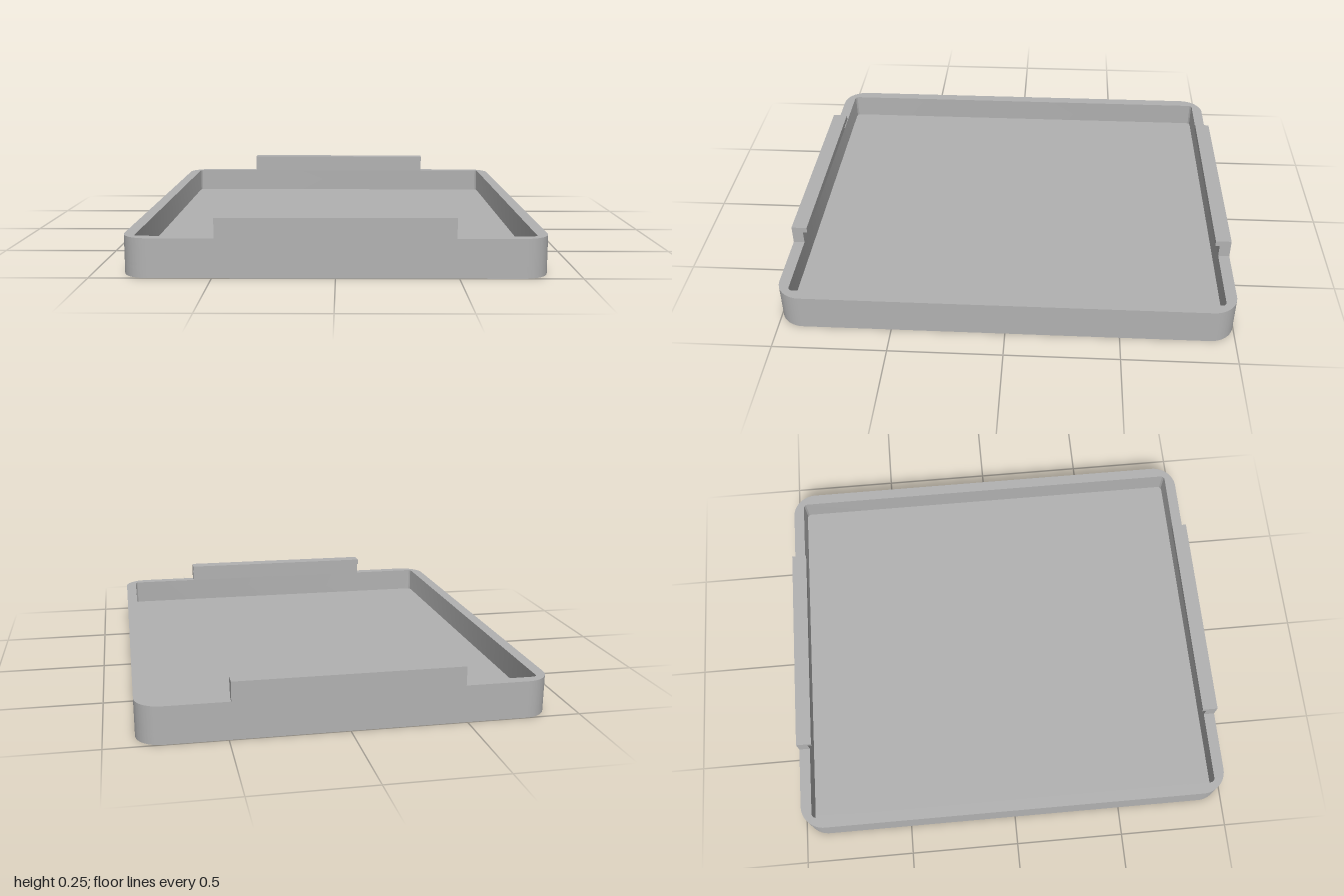
import * as THREE from 'three';
import { toCreasedNormals } from 'three/addons/utils/BufferGeometryUtils.js';

const HALF_X = 0.87, HALF_Z = 1, WALL = 0.05;
const FLOOR_TOP = 0.05, RIM_TOP = 0.164, TAB_TOP = 0.248;

// Rounded rectangle centred on the origin
function roundedRect(target, hx, hy, r) {
  target.absarc(hx - r, hy - r, r, 0, Math.PI / 2);
  target.absarc(-hx + r, hy - r, r, Math.PI / 2, Math.PI);
  target.absarc(-hx + r, -hy + r, r, Math.PI, Math.PI * 1.5);
  target.absarc(hx - r, -hy + r, r, Math.PI * 1.5, Math.PI * 2);
  target.closePath();
  return target;
}

// Raises a plan outline from height y0 to y1
function raise(shape, y0, y1) {
  const geo = new THREE.ExtrudeGeometry(shape, { depth: y1 - y0, bevelEnabled: false, curveSegments: 16 });
  geo.rotateX(-Math.PI / 2).translate(0, y0, 0);
  return toCreasedNormals(geo, 0.6);
}

export function createModel() {
  const group = new THREE.Group();
  group.name = 'tray';
  const grey = new THREE.MeshStandardMaterial({ color: 0xb2b2b2 });
  grey.name = 'grey plastic';

  const add = (name, geo) => {
    const mesh = new THREE.Mesh(geo, grey);
    mesh.name = name;
    group.add(mesh);
    return mesh;
  };

  // Floor plate
  const outline = () => roundedRect(new THREE.Shape(), HALF_X, HALF_Z, 0.11);
  add('floor', raise(outline(), 0, FLOOR_TOP));

  // Surrounding wall, with nearly square inner corners
  const ring = outline();
  ring.holes.push(roundedRect(new THREE.Path(), HALF_X - WALL, HALF_Z - WALL, 0.02));
  add('wall', raise(ring, FLOOR_TOP, RIM_TOP));

  // Hooked retaining tabs: an upright with a lip pointing inwards
  const hook = new THREE.Shape([
    [0, RIM_TOP], [WALL, RIM_TOP], [WALL, 0.222], [0.07, 0.222], [0.07, TAB_TOP], [0, TAB_TOP],
  ].map(([x, y]) => new THREE.Vector2(x, y)));
  const length = 0.976;
  const tab = new THREE.ExtrudeGeometry(hook, { depth: length, bevelEnabled: false });
  tab.translate(0, 0, -length / 2).rotateY(Math.PI / 2).translate(0, 0, HALF_Z);
  add('frontTab', tab);
  add('backTab', tab).rotation.y = Math.PI;

  return group;
}
